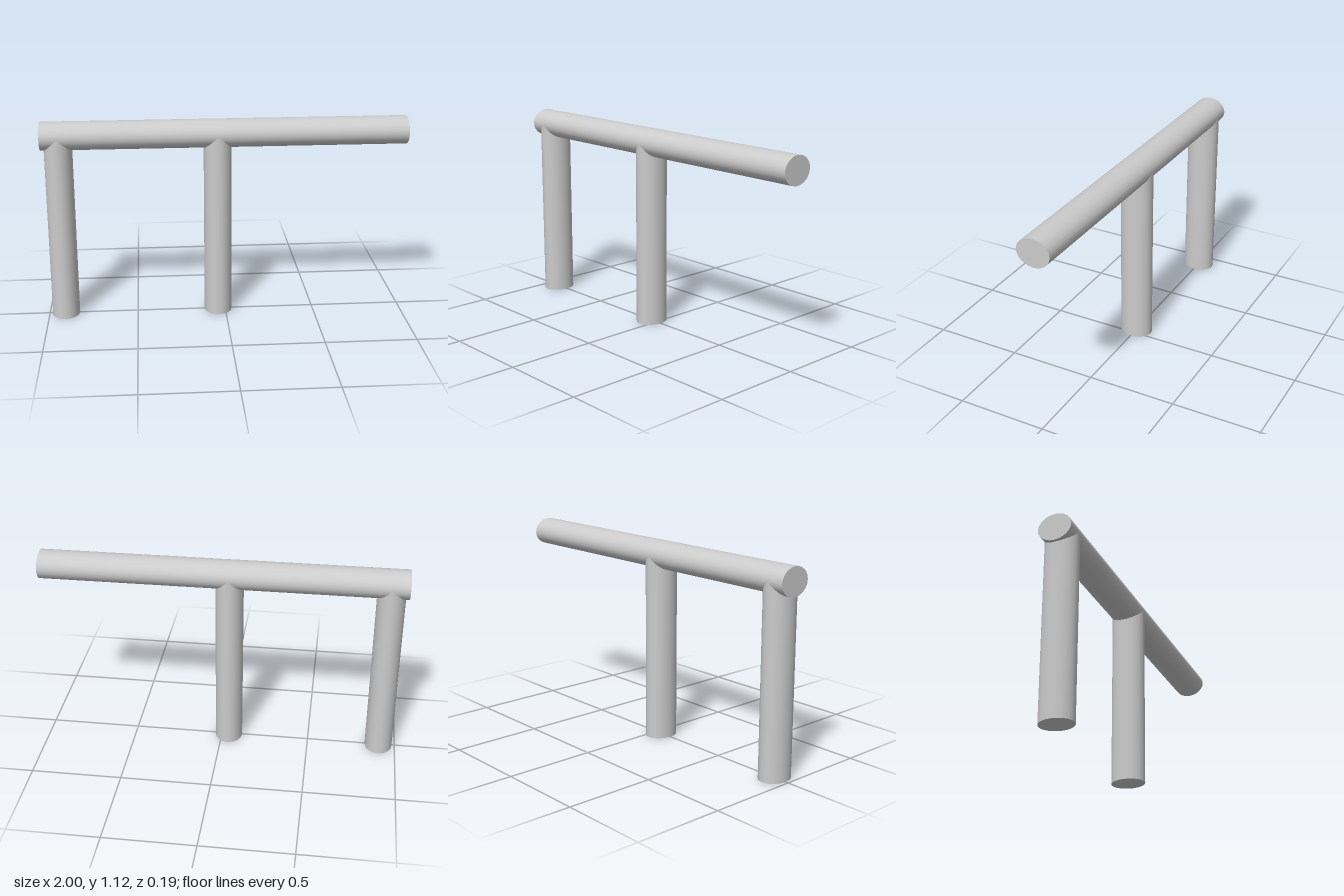
import * as THREE from 'three';

const R_THIN = 0.077; // half thickness across the frame
const R_DEEP = 0.093; // half depth along z
const RAIL_Y = 1.038; // height of the rail axis
const SIDES = 24;

// Upright oval bar, deeper along z than along x
function ovalBar(length) {
  return new THREE.CylinderGeometry(1, 1, length, SIDES).scale(R_THIN, 1, R_DEEP);
}

export function createModel() {
  const model = new THREE.Group();
  model.name = 'railStand';
  const material = new THREE.MeshStandardMaterial({ color: 0xcccccc });

  // Horizontal top rail
  const rail = new THREE.Mesh(ovalBar(2).rotateZ(Math.PI / 2), material);
  rail.name = 'topRail';
  rail.position.y = RAIL_Y;
  model.add(rail);

  // Two posts running up to the axis of the rail
  const posts = { endPost: -0.907, middlePost: -0.041 };
  for (const [name, x] of Object.entries(posts)) {
    const post = new THREE.Mesh(ovalBar(RAIL_Y), material);
    post.name = name;
    post.position.set(x, RAIL_Y / 2, 0);
    model.add(post);
  }
  return model;
}
